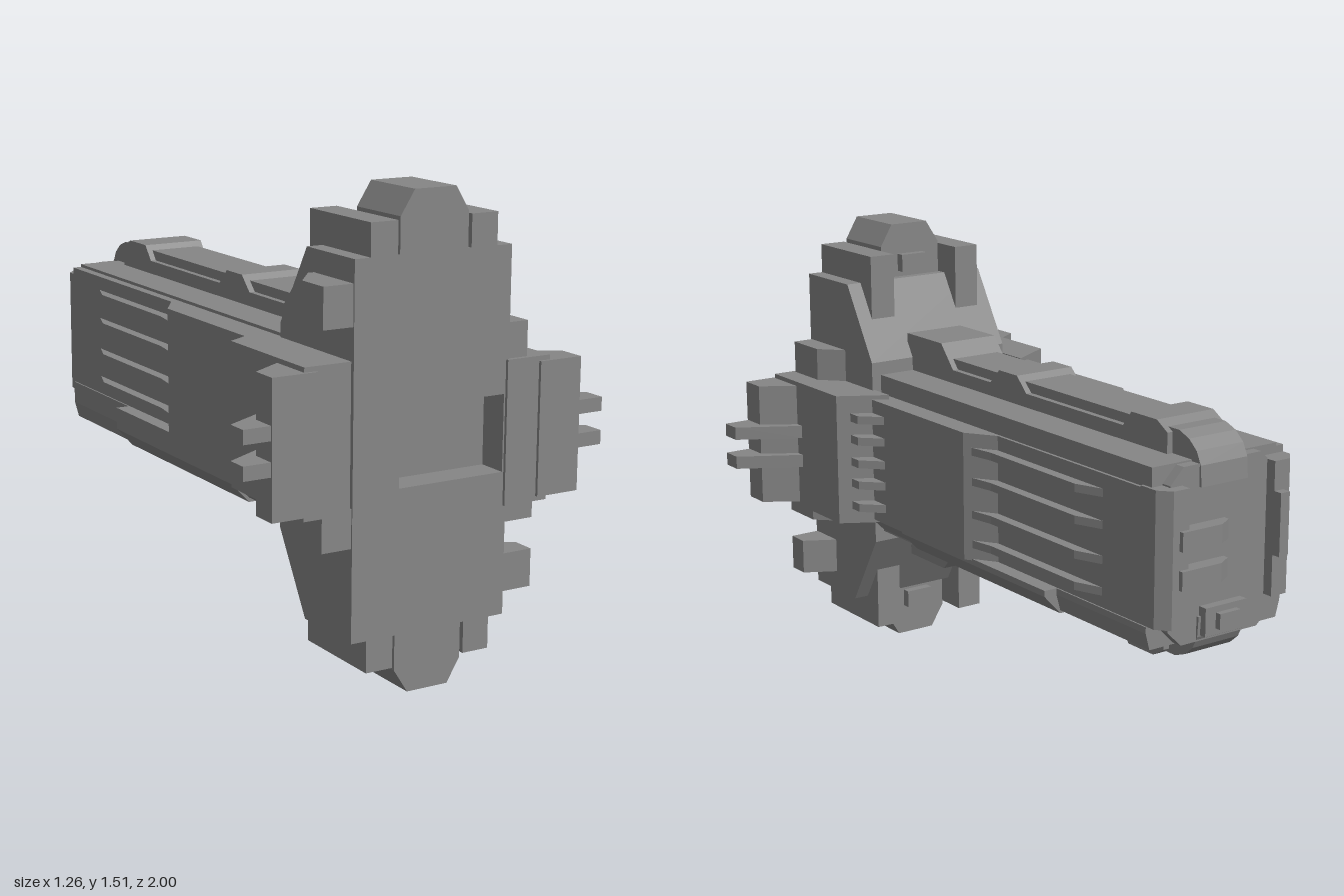
import * as THREE from 'three';

export function createModel() {
  const model = new THREE.Group();
  const material = new THREE.MeshStandardMaterial({ color: 0x868686, flatShading: true });
  const CX = 0.01, MID = 0.76; // centre line of hull and spine

  const add = (name, geo) => {
    const mesh = new THREE.Mesh(geo, material);
    mesh.name = name;
    model.add(mesh);
  };
  const box = (name, x0, x1, y0, y1, z0, z1) => add(name,
    new THREE.BoxGeometry(x1 - x0, y1 - y0, z1 - z0)
      .translate((x0 + x1) / 2, (y0 + y1) / 2, (z0 + z1) / 2));
  const extrude = (pts, depth, hole) => {
    const shape = new THREE.Shape(pts.map(p => new THREE.Vector2(...p)));
    if (hole) shape.holes.push(new THREE.Path(hole.map(p => new THREE.Vector2(...p))));
    return new THREE.ExtrudeGeometry(shape, { depth, bevelEnabled: false });
  };
  // [z, y] profile swept across x
  const side = (name, pts, x0, x1) => add(name,
    extrude(pts, x1 - x0).rotateY(-Math.PI / 2).translate(x1, 0, 0));
  // [x, z] outline swept up y
  const plan = (name, pts, y0, y1) => add(name,
    extrude(pts, y1 - y0).rotateX(Math.PI / 2).translate(0, y1, 0));
  // [x, y] section swept along z
  const front = (name, pts, z0, z1, hole) => add(name,
    extrude(pts, z1 - z0, hole).translate(0, 0, z0));

  // Front plate with its slot, and the sloped block behind it
  front('frontPlate', [[-0.26, 0.19], [0.285, 0.19], [0.285, 1.33], [-0.26, 1.33]], 0.88, 0.98,
    [[-0.1, 0.64], [-0.1, 0.88], [0.27, 0.88], [0.27, 0.64]]);
  side('frontBlock', [[0.88, 0.19], [0.88, 1.33], [0.72, 1.33], [0.57, 1.08],
    [0.57, 0.44], [0.72, 0.19]], -0.26, 0.285);

  // Flat-topped hull and chamfered rear cap
  box('hull', CX - 0.24, CX + 0.24, 0.475, 1.035, -0.9, 0.6);
  front('rearCap', [[-0.19, 0.53], [-0.14, 0.48], [0.16, 0.48], [0.21, 0.53],
    [0.21, 0.98], [0.16, 1.03], [-0.14, 1.03], [-0.19, 0.98]], -0.935, -0.9);

  // Features repeated above and below the middle
  for (const s of [1, -1]) {
    const tag = s > 0 ? 'top' : 'bottom';
    const y = h => MID + s * h;
    const range = (a, b) => (s > 0 ? [y(a), y(b)] : [y(b), y(a)]);

    side(tag + 'Spine', [[0.6, y(0.2)], [0.6, y(0.4)], [0.39, y(0.4)], [0.32, y(0.32)], [0.1, y(0.32)],
      [0.05, y(0.37)], [-0.05, y(0.37)], [-0.1, y(0.32)], [-0.6, y(0.32)], [-0.64, y(0.37)],
      [-0.76, y(0.37)], [-0.81, y(0.34)], [-0.81, y(0.2)]], CX - 0.11, CX + 0.11);
    for (const [z0, z1] of [[0.07, 0.345], [-0.63, -0.07]])
      box(tag + 'SpineSlab', CX - 0.09, CX + 0.09, ...range(0.3, 0.352), z0, z1);
    // Curved hood wrapping over the rear edge
    side(tag + 'RearHood', [[-0.75, y(0.2)], [-0.75, y(0.352)], [-0.84, y(0.352)], [-0.885, y(0.335)],
      [-0.92, y(0.305)], [-0.94, y(0.265)], [-0.945, y(0.2)]], CX - 0.09, CX + 0.09);

    // Six-sided cap between two tabs on the plate
    front(tag + 'Cap', [[CX - 0.118, y(0.5)], [CX - 0.118, y(0.68)], [CX - 0.07, y(0.755)],
      [CX + 0.073, y(0.755)], [CX + 0.118, y(0.68)], [CX + 0.118, y(0.5)]], 0.75, 0.98);
    box(tag + 'CapNub', CX - 0.05, CX + 0.05, ...range(0.59, 0.65), 0.72, 0.76);
    for (const x of [-0.207, 0.14])
      box(tag + 'Tab', x, x + 0.092, ...range(0.4, 0.67), 0.65, 0.98);
  }

  // Flanks: the right one sits slightly higher
  for (const s of [1, -1]) {
    const tag = s > 0 ? 'left' : 'right';
    const d = s > 0 ? 0 : 0.055;
    const x = pts => pts.map(([a, z]) => [s * a, z]);

    plan(tag + 'SidePanel', x([[0.2, 0.58], [0.325, 0.58], [0.325, -0.04], [0.26, -0.14],
      [0.26, -0.9], [0.2, -0.9]]), 0.545 + d, 0.97 + d);
    for (const yc of [0.6, 0.7, 0.81, 0.91])
      plan(tag + 'TaperedFin', x([[0.25, -0.06], [0.31, -0.06], [0.295, -0.15], [0.295, -0.59],
        [0.25, -0.71]]), yc - 0.013 + d, yc + 0.013 + d);
    for (const yc of [0.6, 0.68, 0.755, 0.835, 0.91])
      plan(tag + 'Rib', x([[0.3, 0.58], [0.39, 0.58], [0.39, 0.5], [0.32, 0.43], [0.3, 0.43]]),
        yc - 0.014 + d, yc + 0.014 + d);

    // Shoulder, its stepped outer block and two prongs
    plan(tag + 'Shoulder', x([[0.275, 0.48], [0.43, 0.57], [0.43, 0.99], [0.275, 0.99]]),
      0.535 + d, 0.985 + d);
    plan(tag + 'OuterBlock', x([[0.39, 0.82], [0.43, 0.84], [0.54, 0.91], [0.54, 1], [0.39, 1]]),
      0.55 + d, 0.97 + d);
    for (const yc of [0.705, 0.81])
      plan(tag + 'Prong', x([[0.4, 0.81], [0.43, 0.81], [0.63, 0.925], [0.63, 0.995], [0.4, 0.995]]),
        yc - 0.022 + d, yc + 0.022 + d);

    // Sloping rail beneath the panel: front, long middle and shallow rear
    for (const [z0, z1, low, w] of [[0.36, 0.57, 0.48, 0.3], [-0.46, 0.36, 0.465, 0.31],
      [-0.9, -0.46, 0.475, 0.265]])
      front(tag + 'Rail', [[s * 0.2, 0.55 + d], [s * w, 0.55 + d], [s * w, 0.53], [s * 0.25, low],
        [s * 0.2, low]], z0, z1);

    // Bevelled rear column
    plan(tag + 'RearColumn', x([[0.165, -0.86], [0.26, -0.86], [0.26, -0.93], [0.225, -0.97],
      [0.165, -0.97]]), 0.55 + d * 0.5, 0.975 + d * 0.5);
  }

  // Wedge lugs on the sides of the front plate: [side, reach, y0, y1, slope start, slope end]
  for (const [s, w, y0, y1, z0, z1] of [[1, 0.355, 0.985, 1.095, 0.74, 0.82], [1, 0.39, 0.48, 0.54, 0.71, 0.82],
    [1, 0.39, 0.26, 0.38, 0.84, 0.9], [-1, 0.36, 1.135, 1.26, 0.76, 0.86], [-1, 0.36, 0.48, 0.6, 0.74, 0.84]])
    plan('sideLug', [[s * 0.25, z0], [s * 0.28, z0], [s * w, z1], [s * w, 0.975], [s * 0.25, 0.975]], y0, y1);

  // Rear details: ledges, side tab and nub
  for (const yc of [0.7, 0.82])
    plan('rearLedge', [[0, -0.92], [0, -0.955], [0.05, -0.985], [0.2, -0.985], [0.2, -0.92]],
      yc - 0.03, yc + 0.03);
  box('rearTab', -0.2, -0.165, 0.71, 0.91, -1, -0.95);
  box('rearNub', CX - 0.08, CX + 0.08, 0.5, 0.59, -0.965, -0.92);
  box('rearNubTip', CX - 0.04, CX + 0.04, 0.52, 0.57, -0.985, -0.96);

  return model;
}
